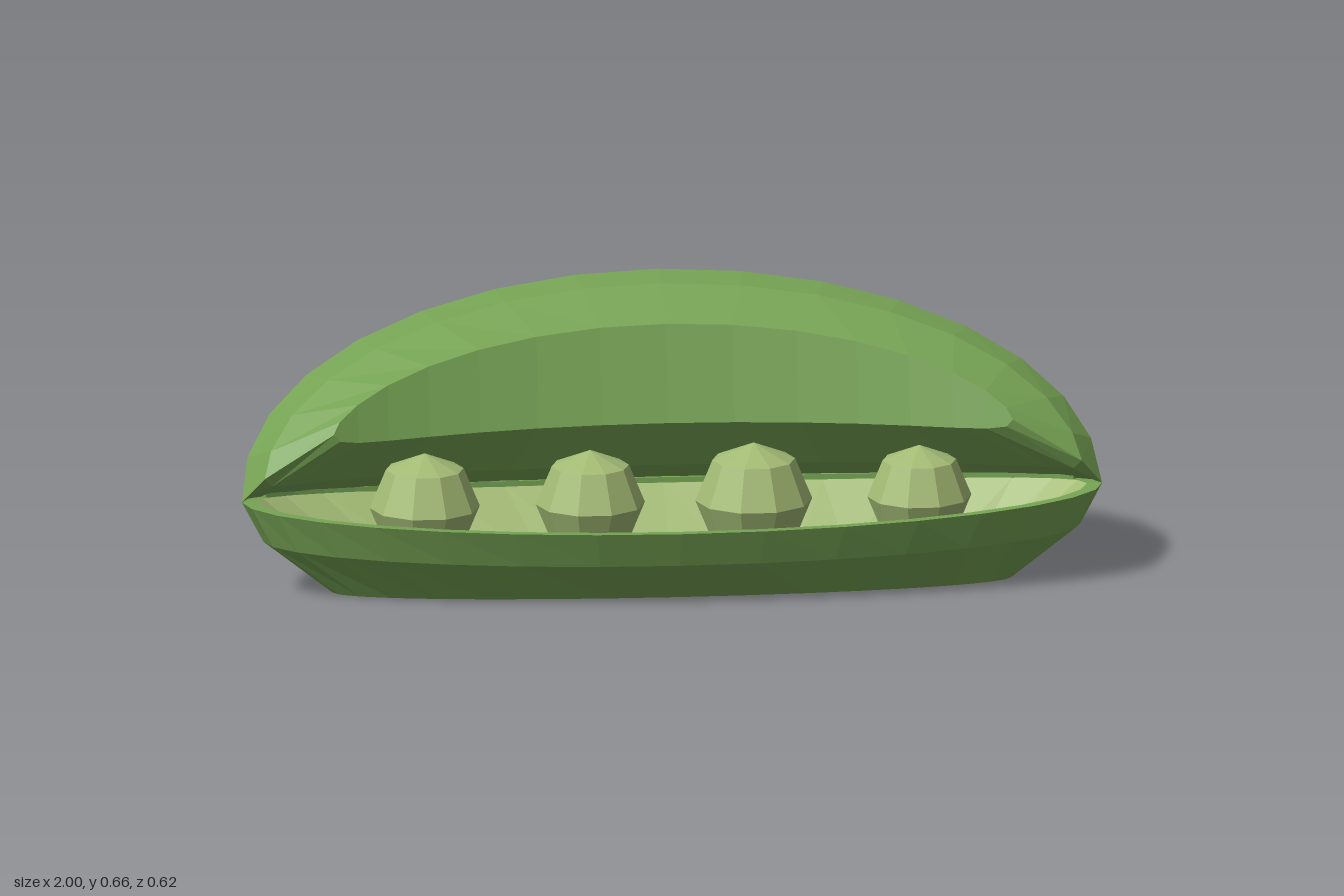
import * as THREE from 'three';

const SEG = 32, CZ = 0.065, OPEN = THREE.MathUtils.degToRad(105.5);

const podGreen = new THREE.MeshStandardMaterial({ color: 0x76a354, flatShading: true });
podGreen.name = 'pod green';
const peaGreen = new THREE.MeshStandardMaterial({ color: 0xa3bb75, flatShading: true });
peaGreen.name = 'pale pea green';

// Rings of one pod half: half length, half width, height at tips, sag at middle, hinge stretch
const RINGS = {
  rimInner: [0.965, 0.223, 0.22, 0.035, 1],
  rimOuter: [1, 0.245, 0.22, 0.035, 1],
  belly: [0.95, 0.21, 0.125, 0.025, 1.036],
  base: [0.79, 0.115, 0, 0, 1.076],
  floor: [0.75, 0.07, 0.04, 0, 1.06],
};

// Point of the back rim at a given x
function hingePoint(x) {
  const s = Math.sqrt(Math.max(0, 1 - x * x));
  return new THREE.Vector3(x, 0.22 - 0.035 * s ** 1.4, CZ - 0.245 * s);
}

// Swings a point open around the hinge point of its own slice
function swingOpen(p, stretch) {
  const h = hingePoint(THREE.MathUtils.clamp(p.x * stretch, -1, 1));
  const dz = p.z - h.z, dy = p.y - h.y;
  p.z = h.z + dz * Math.cos(OPEN) - dy * Math.sin(OPEN);
  p.y = h.y + dz * Math.sin(OPEN) + dy * Math.cos(OPEN);
  return p;
}

function ring([a, b, y, sag, stretch], open) {
  return Array.from({ length: SEG }, (_, i) => {
    const t = (i / SEG) * Math.PI * 2;
    const s = Math.abs(Math.sin(t));
    const p = new THREE.Vector3(a * Math.cos(t), y - sag * s ** 1.4, CZ + b * Math.sin(t));
    return open ? swingOpen(p, stretch) : p;
  });
}

// Lofts the named rings in order and closes one of them with cross strips
function shell(name, names, capName, capUp, material, open) {
  const pts = [];
  const quad = (a, b, c, d) => pts.push(a, b, d, b, c, d);
  const loops = names.map((n) => ring(RINGS[n], open));
  for (let k = 0; k < loops.length - 1; k++) {
    for (let i = 0; i < SEG; i++) {
      const j = (i + 1) % SEG;
      quad(loops[k][i], loops[k][j], loops[k + 1][j], loops[k + 1][i]);
    }
  }
  const c = loops[names.indexOf(capName)];
  for (let i = 0; i < SEG / 2; i++) {
    const g0 = c[(SEG - i) % SEG], g1 = c[SEG - i - 1];
    if (capUp) quad(c[i], g0, g1, c[i + 1]);
    else quad(c[i], c[i + 1], g1, g0);
  }
  const geo = new THREE.BufferGeometry().setFromPoints(pts);
  geo.computeVertexNormals();
  const mesh = new THREE.Mesh(geo, material);
  mesh.name = name;
  return mesh;
}

function podHalf(name, open) {
  const group = new THREE.Group();
  group.name = name;
  group.add(
    shell(name + 'Skin', ['rimInner', 'rimOuter', 'belly', 'base'], 'base', false, podGreen, open),
    shell(name + 'Lining', ['floor', 'rimInner'], 'floor', true, peaGreen, open),
  );
  return group;
}

// Six-sided rib along the back rim, with closed ends
function hingeRib() {
  const group = new THREE.Group();
  group.name = 'hingeRib';
  const path = [];
  const end = Math.acos(0.95);
  for (let i = 0; i <= 16; i++) {
    path.push(hingePoint(Math.cos(end + (i / 16) * (Math.PI - 2 * end))));
  }
  const curve = new THREE.CatmullRomCurve3(path);
  group.add(new THREE.Mesh(new THREE.TubeGeometry(curve, 24, 0.025, 6), podGreen));
  for (const u of [0, 1]) {
    const cap = new THREE.Mesh(new THREE.CircleGeometry(0.025, 6), podGreen);
    const out = curve.getTangentAt(u).multiplyScalar(u ? 1 : -1);
    cap.position.copy(curve.getPointAt(u));
    cap.lookAt(cap.position.clone().add(out));
    group.add(cap);
  }
  group.children.forEach((m, i) => { m.name = i ? 'ribEnd' : 'rib'; });
  return group;
}

export function createModel() {
  const model = new THREE.Group();
  model.name = 'openPeaPod';
  model.add(podHalf('lowerPod', false), podHalf('upperPod', true), hingeRib());

  // Row of faceted peas: x and radius
  for (const [x, r] of [[-0.575, 0.128], [-0.19, 0.127], [0.19, 0.136], [0.575, 0.121]]) {
    const pea = new THREE.Mesh(new THREE.SphereGeometry(r, 10, 4), peaGreen);
    pea.name = 'pea';
    pea.position.set(x, 0.2, CZ);
    model.add(pea);
  }
  return model;
}
